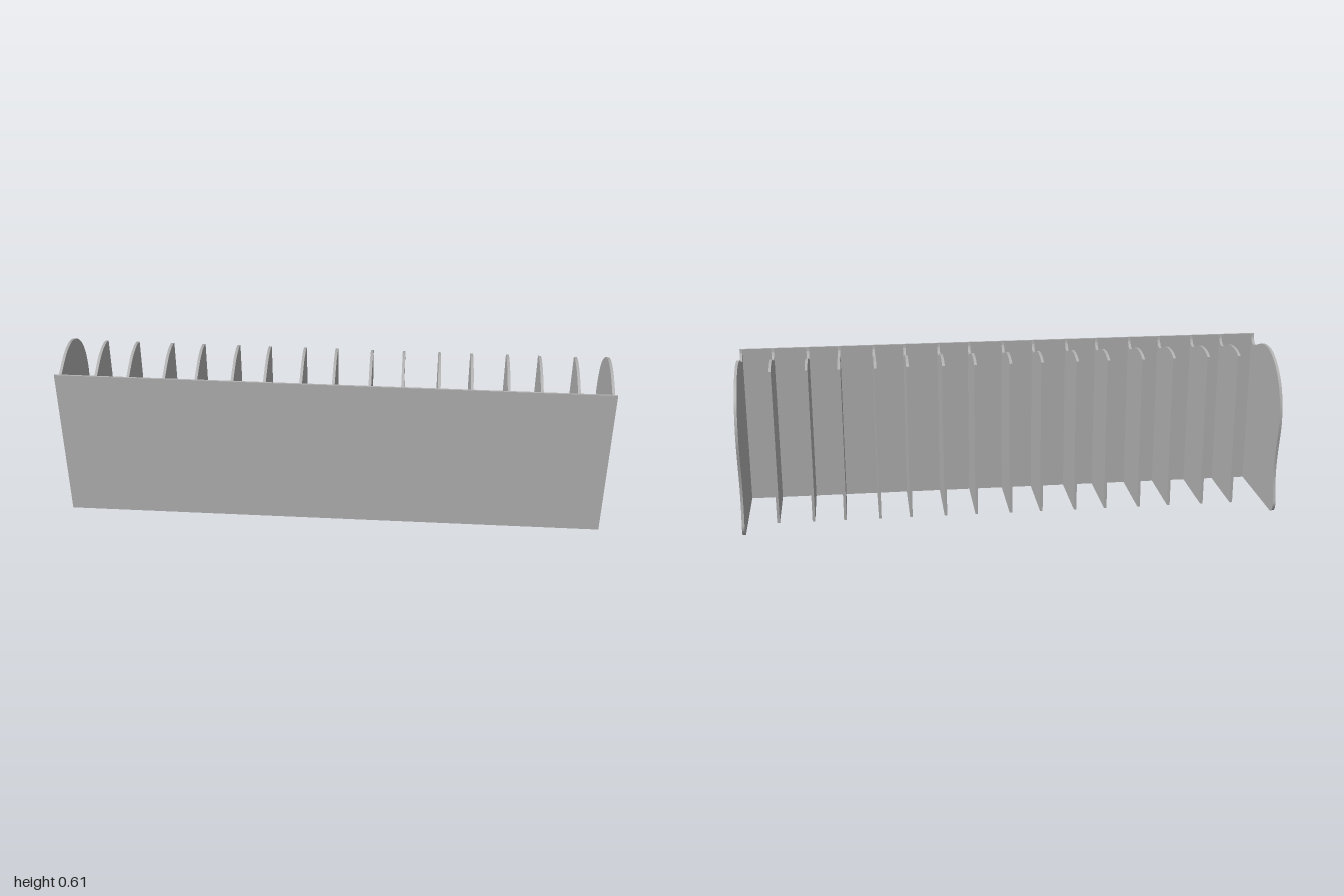
import * as THREE from 'three';
import { toCreasedNormals } from 'three/addons/utils/BufferGeometryUtils.js';

const FRONT = 0.205, PANEL = 0.006, THICK = 0.01, FIN_BACK = -0.065;
const INNER = FRONT - PANEL;

// Side profile as (z, y): from the top front corner, over the crown, down the back
const profile = new THREE.SplineCurve([
  [INNER, 0.605], [0.195, 0.586], [0.183, 0.573], [0.167, 0.5685], [0.145, 0.572],
  [0.1, 0.589], [0.056, 0.602], [0.012, 0.606], [-0.033, 0.602], [-0.0775, 0.5855],
  [-0.122, 0.557], [-0.167, 0.507], [-0.1935, 0.445], [-0.203, 0.382], [-0.199, 0.329],
  [-0.186, 0.2575], [-0.177, 0.186], [-0.179, 0.124], [-0.19, 0.067], [-0.196, 0.038],
  [-0.186, 0.013], [-0.163, 0],
].map(([z, y]) => new THREE.Vector2(z, y))).getPoints(126);

// Upright plate in the z-y plane, centred on x = 0
function plateGeometry(points) {
  const shape = new THREE.Shape([...points, new THREE.Vector2(INNER, 0)]);
  const geo = new THREE.ExtrudeGeometry(shape, { depth: THICK, bevelEnabled: false });
  geo.translate(0, 0, -THICK / 2).rotateY(-Math.PI / 2);
  return toCreasedNormals(geo, 0.5);
}

export function createModel() {
  const model = new THREE.Group();
  model.name = 'dividedRack';
  const grey = new THREE.MeshStandardMaterial({ color: 0xb2b2b2 });
  grey.name = 'grey';

  const add = (name, geo, x, y = 0, z = 0) => {
    const mesh = new THREE.Mesh(geo, grey);
    mesh.name = name;
    mesh.position.set(x, y, z);
    model.add(mesh);
  };

  // Long front board
  add('frontPanel', new THREE.BoxGeometry(2, 0.606, PANEL), 0, 0.303, FRONT - PANEL / 2);

  // Curved end panels
  const endGeo = plateGeometry(profile);
  add('leftEndPanel', endGeo, 1 - THICK / 2);
  add('rightEndPanel', endGeo, -1 + THICK / 2);

  // Dividers share the top curve but stop at a straight back edge
  const top = profile.filter((p) => p.x > FIN_BACK);
  const finGeo = plateGeometry([
    ...top, new THREE.Vector2(FIN_BACK, 0.591), new THREE.Vector2(FIN_BACK, 0),
  ]);
  for (let i = -3; i <= 3; i++) add('divider', finGeo, i * 0.2485 - 0.002);
  for (let i = -4; i <= 3; i++) add('divider', finGeo, i * 0.2485 + 0.129);

  return model;
}
